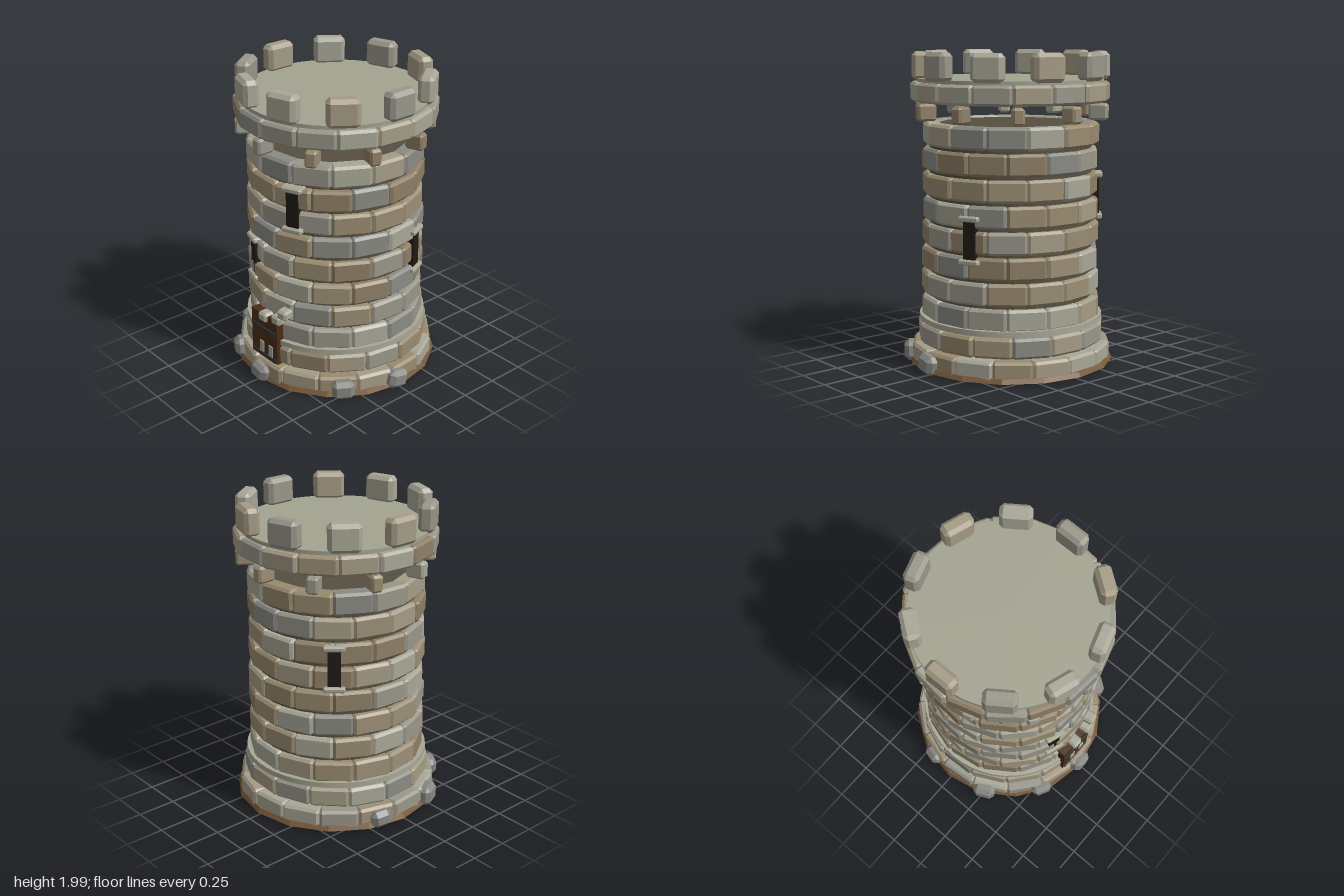
import * as THREE from 'three';
import { ConvexGeometry } from 'three/addons/geometries/ConvexGeometry.js';

const material = (color) => new THREE.MeshStandardMaterial({ color, flatShading: true });
const STONES = [0x9c8f76, 0x8f8067, 0xa59c86, 0x8b8b84, 0xa8a797, 0x998b70, 0x9a978a].map(material);
const GREY = material(0x878783);
const PALE = material(0xa8a898);
const DARK = material(0x211a14);
const WOOD = material(0x4a2c17);

// Small seeded generator for the irregular masonry
let seed = 7;
const rand = () => (seed = (seed * 16807) % 2147483647) / 2147483647;
const jitter = (a) => (rand() - 0.5) * 2 * a;
const pick = () => STONES[Math.floor(rand() * STONES.length)];

// Box with every edge chamfered
function chamferBox(w, h, d, c) {
  const points = [];
  const [x, y, z] = [w / 2, h / 2, d / 2];
  for (const i of [-1, 1]) for (const j of [-1, 1]) for (const k of [-1, 1]) {
    points.push(
      new THREE.Vector3(i * x, j * (y - c), k * (z - c)),
      new THREE.Vector3(i * (x - c), j * y, k * (z - c)),
      new THREE.Vector3(i * (x - c), j * (y - c), k * z));
  }
  return new ConvexGeometry(points);
}

function add(parent, name, geometry, mat, x = 0, y = 0, z = 0, turn = 0) {
  const mesh = new THREE.Mesh(geometry, mat);
  mesh.name = name;
  mesh.position.set(x, y, z);
  mesh.rotation.y = turn;
  parent.add(mesh);
  return mesh;
}

// Places a part on the wall; angle 0 is the front, growing towards +x
function addAround(parent, name, geometry, mat, angle, r, y) {
  return add(parent, name, geometry, mat, Math.sin(angle) * r, y, Math.cos(angle) * r, angle);
}

function addCourse(parent, name, count, r, y0, y1, phase, depth = 0.11) {
  const course = new THREE.Group();
  course.name = name;
  const width = 2 * r * Math.tan(Math.PI / count) - 0.006;
  const geometry = chamferBox(width, y1 - y0, depth, 0.016);
  for (let i = 0; i < count; i++) {
    const a = phase + (i * 2 * Math.PI) / count;
    addAround(course, 'brick', geometry, pick(), a, r - depth / 2 + jitter(0.006), (y0 + y1) / 2);
  }
  parent.add(course);
}

function addWindow(parent, degrees, y) {
  const slit = new THREE.Group();
  slit.name = 'arrowSlit';
  const a = THREE.MathUtils.degToRad(degrees);
  addAround(slit, 'opening', new THREE.BoxGeometry(0.08, 0.26, 0.08), DARK, a, 0.525, y);
  const slab = chamferBox(0.135, 0.034, 0.09, 0.008);
  for (const s of [-1, 1]) {
    addAround(slit, s > 0 ? 'lintel' : 'sill', slab, PALE, a, 0.54, y + s * 0.133);
  }
  parent.add(slit);
}

export function createModel() {
  const model = new THREE.Group();
  const tower = new THREE.Group();
  tower.name = 'tower';
  tower.position.z = -0.02;
  model.add(tower);

  // Ground plate and inner mortar core
  add(tower, 'groundPlate', new THREE.CylinderGeometry(0.645, 0.66, 0.03, 16), material(0x7a5c3c), 0, 0.04);
  add(tower, 'mortarCore', new THREE.CylinderGeometry(0.515, 0.53, 1.5, 28), material(0x55503f), 0, 0.8);

  // Flared foot courses and the stone band above them
  addCourse(tower, 'footCourse', 16, 0.63, 0.025, 0.15, 0.1, 0.14);
  addCourse(tower, 'footCourse', 15, 0.592, 0.16, 0.287, 0.15, 0.13);
  const band = add(tower, 'stoneBand', new THREE.CylinderGeometry(0.588, 0.588, 0.035, 48), PALE.clone(), 0, 0.313);
  band.material.flatShading = false;

  // Wall courses, every other one shifted by half a brick
  for (let i = 0; i < 8; i++) {
    const y = 0.318 + i * 0.1575;
    addCourse(tower, 'wallCourse', 14, 0.56 - i * 0.0018, y, y + 0.138, i % 2 ? 0.15 : -0.074);
  }

  // Corbels carrying the parapet
  const corbel = chamferBox(0.075, 0.105, 0.12, 0.014);
  for (let i = 0; i < 10; i++) {
    addAround(tower, 'corbel', corbel, pick(), (i * Math.PI) / 5, 0.565, 1.628);
  }

  // Parapet ring and roof deck
  addCourse(tower, 'parapetCourse', 16, 0.625, 1.69, 1.812, -0.1);
  const deck = add(tower, 'roofDeck', new THREE.CylinderGeometry(0.59, 0.59, 0.13, 48), material(0xa3a391), 0, 1.77);
  deck.material.flatShading = false;

  // Battlements
  const merlon = chamferBox(0.2, 0.175, 0.1, 0.024);
  for (let i = 0; i < 10; i++) {
    addAround(tower, 'merlon', merlon, STONES[[4, 2, 6][i % 3]], ((i + 0.5) * Math.PI) / 5, 0.572, 1.9125);
  }

  // Arrow slits: angle in degrees, height
  for (const [angle, y] of [[22, 1.26], [-18, 0.8], [113, 0.875], [228, 1.09]]) addWindow(tower, angle, y);

  // Door with iron straps and the stones showing through it
  const door = new THREE.Group();
  door.name = 'door';
  add(door, 'doorPanel', new THREE.BoxGeometry(0.26, 0.315, 0.1), WOOD, 0.003, 0.313, 0.55);
  for (const y of [0.172, 0.366]) {
    add(door, 'ironStrap', new THREE.BoxGeometry(0.235, 0.026, 0.012), material(0x303338), 0.003, y, 0.602);
  }
  for (const x of [-0.025, 0.066]) {
    add(door, 'doorStone', chamferBox(0.06, 0.1, 0.03, 0.012), PALE, x, 0.225, 0.59);
  }
  // Remains of the arch over the door
  for (const [x, y, z] of [[0, 0.455, 0.58], [0.125, 0.485, 0.575], [0.175, 0.54, 0.565]]) {
    add(door, 'archStone', chamferBox(0.08, 0.065, 0.08, 0.014), PALE, x, y, z, x);
  }
  tower.add(door);

  // Loose rocks around the foot
  for (const degrees of [1, 54, 87, 255, 295, 331]) {
    const size = 0.1 + rand() * 0.03;
    const rock = addAround(tower, 'looseRock', chamferBox(size + 0.02, size, size, 0.028), GREY,
      THREE.MathUtils.degToRad(degrees), 0.628, 0.078);
    rock.rotation.z = jitter(0.25);
  }
  return model;
}
